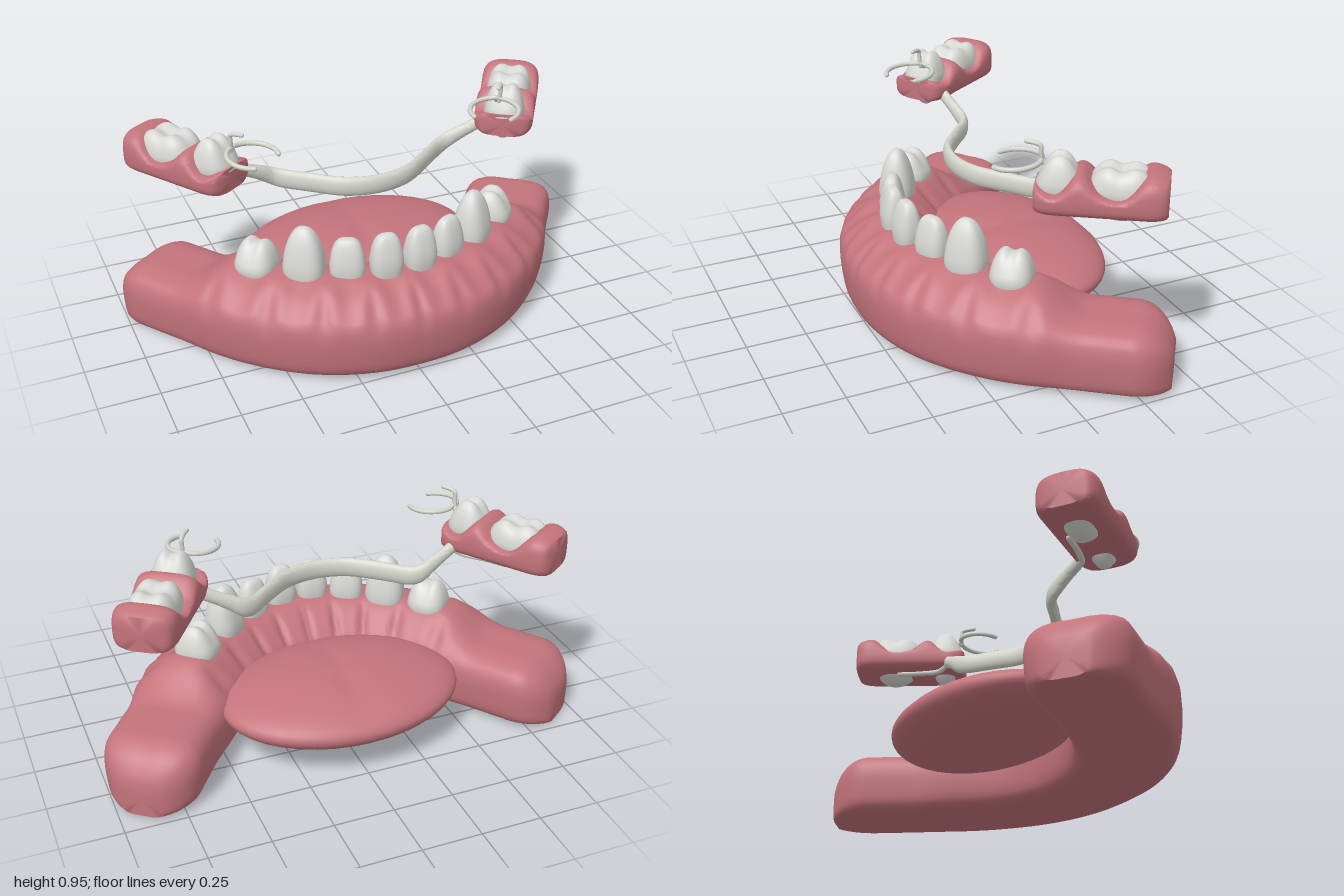
import * as THREE from 'three';
import { mergeVertices, toCreasedNormals } from 'three/addons/utils/BufferGeometryUtils.js';

const gumMat = new THREE.MeshStandardMaterial({ color: 0xc4747c });
gumMat.name = 'gum pink';
const toothMat = new THREE.MeshStandardMaterial({ color: 0xd8d8d4 });
toothMat.name = 'tooth ivory';
const metalMat = new THREE.MeshStandardMaterial({ color: 0xd3d5cb });
metalMat.name = 'clasp metal';

const { lerp, smoothstep, clamp } = THREE.MathUtils;
const V = (x, y, z) => new THREE.Vector3(x, y, z);
const spow = (v, e) => Math.sign(v) * Math.pow(Math.abs(v), e);
const gauss = (v, w) => Math.exp(-((v / w) ** 2));

function mesh(geometry, material, name) {
  const m = new THREE.Mesh(geometry, material);
  m.name = name;
  return m;
}

// Skin n + 1 closed rings of m points, f(i, j) -> [x, y, z], with both ends capped
function loft(n, m, f) {
  const pos = [], idx = [];
  for (let i = 0; i <= n; i++) for (let j = 0; j < m; j++) pos.push(...f(i, j));
  for (let i = 0; i < n; i++) for (let j = 0; j < m; j++) {
    const a = i * m + j, b = i * m + (j + 1) % m;
    idx.push(a, b, a + m, b, b + m, a + m);
  }
  for (const i of [0, n]) {
    const c = [0, 0, 0], k = pos.length / 3;
    for (let j = 0; j < m; j++) for (let q = 0; q < 3; q++) c[q] += pos[(i * m + j) * 3 + q] / m;
    pos.push(...c);
    for (let j = 0; j < m; j++) {
      const a = i * m + j, b = i * m + (j + 1) % m;
      idx.push(...(i ? [k, a, b] : [k, b, a]));
    }
  }
  // Turn the faces outward if the enclosed volume is negative
  const at = (i) => V(pos[i * 3], pos[i * 3 + 1], pos[i * 3 + 2]);
  let volume = 0;
  for (let t = 0; t < idx.length; t += 3) volume += at(idx[t]).dot(at(idx[t + 1]).cross(at(idx[t + 2])));
  if (volume < 0) idx.reverse();
  const g = new THREE.BufferGeometry();
  g.setAttribute('position', new THREE.Float32BufferAttribute(pos, 3));
  g.setIndex(idx);
  return toCreasedNormals(g, 1);
}

// Reshape a sphere by a rule on each vertex
function sculpt(rule) {
  let g = new THREE.SphereGeometry(1, 40, 28);
  g.deleteAttribute('uv');
  g.deleteAttribute('normal');
  g = mergeVertices(g, 1e-4);
  const p = g.attributes.position;
  for (let i = 0; i < p.count; i++) p.setXYZ(i, ...rule(p.getX(i), p.getY(i), p.getZ(i)));
  g.computeVertexNormals();
  return g;
}

// Tooth: rounded block with tapered ends and optional grooves that leave cusps
function tooth(name, { rx, ry, rz, e = 0.7, top = 1, bottom = 0.8, gx = 0, gz = 0 }, x, y, z, angle) {
  const g = sculpt((a, b, c) => {
    const r = Math.hypot(a, c) || 1e-6;
    const rad = Math.pow(r, e), h = spow(b, e);
    const u = spow(a / r, 0.75) * rad, v = spow(c / r, 0.75) * rad;
    const k = h > 0 ? lerp(1, top, h) : lerp(1, bottom, -h);
    const cut = h > 0 ? h * (gx * gauss(u, 0.35) + gz * gauss(v, 0.3)) : 0;
    return [u * rx * (h > 0 ? lerp(1, (1 + top) / 2, h) : k), h * ry - cut, v * rz * k];
  });
  const m = mesh(g, toothMat, name);
  m.position.set(x, y, z);
  m.rotation.y = angle;
  return m;
}

// Gum arch: swept section, ridged under the teeth and flat on the rear arms
function gumArch() {
  const half = [[0.16, 0.305], [0.33, 0.24], [0.51, 0.10], [0.68, -0.11], [0.84, -0.33], [0.912, -0.428]];
  const path = new THREE.CatmullRomCurve3([
    ...half.map(([x, z]) => V(-x, 0, z)).reverse(), V(0, 0, 0.32), ...half.map(([x, z]) => V(x, 0, z))]);
  const section = (pts) => new THREE.CatmullRomCurve3(pts.map(([n, y]) => V(n, y, 0)), true).getPoints(44);
  const ridge = section([[-0.14, 0.005], [0, 0], [0.13, 0.005], [0.19, 0.03], [0.212, 0.1], [0.212, 0.265],
    [0.17, 0.32], [0.1, 0.37], [0, 0.388], [-0.07, 0.38], [-0.145, 0.32], [-0.205, 0.24], [-0.212, 0.12], [-0.19, 0.03]]);
  const flat = section([[-0.14, 0.005], [0, 0], [0.13, 0.005], [0.18, 0.03], [0.195, 0.1], [0.195, 0.2],
    [0.172, 0.25], [0.1, 0.274], [0, 0.275], [-0.1, 0.274], [-0.165, 0.25], [-0.195, 0.2], [-0.195, 0.1], [-0.18, 0.03]]);
  const N = 260;
  return loft(N, 44, (i, j) => {
    const c = path.getPointAt(i / N), t = path.getTangentAt(i / N), ax = Math.abs(c.x);
    const k = smoothstep(c.z, -0.16, 0.02);
    const e = clamp((ax - 0.82) / 0.092, 0, 1), q = Math.sqrt(1 - 0.82 * e * e);
    let n = lerp(flat[j].x, ridge[j].x, k), y = lerp(flat[j].y, ridge[j].y, k);
    // Grooves between neighbouring teeth, and a lower gum line at each tooth
    const wave = ax < 0.68 ? 0.5 + 0.5 * Math.cos(2 * Math.PI * c.x / 0.15) : 0;
    const upper = k * smoothstep(y, 0.22, 0.31);
    n *= 1 - 0.14 * wave ** 4 * upper * (1 - smoothstep(y, 0.355, 0.39));
    y -= 0.02 * (1 - wave) * upper * smoothstep(n, 0.03, 0.09);
    return [c.x - t.z * n * q, y * (1 - 0.75 * (1 - q)), c.z + t.x * n * q];
  });
}

// Denture saddle: pink block with a scalloped top edge
const saddleAt = (t) => [0.588 + 0.268 * t, 0.016 - 0.408 * t];
function saddle(s) {
  const top = new THREE.SplineCurve([[0, 0.81], [0.16, 0.785], [0.39, 0.858], [0.52, 0.797], [0.68, 0.785], [0.9, 0.862], [1, 0.86]]
    .map(([a, b]) => new THREE.Vector2(a, b)));
  const N = 48;
  return loft(N, 36, (i, j) => {
    const t = i / N, a = j / 36 * Math.PI * 2, [x, z] = saddleAt(t);
    const edge = Math.min(t, 1 - t) / 0.16;
    const q = edge < 1 ? 0.7 + 0.3 * Math.sqrt(1 - (1 - edge) ** 2) : 1;
    const n = 0.125 * q * spow(Math.cos(a), 0.55), sn = spow(Math.sin(a), 0.55);
    const y = 0.765 + sn * (sn > 0 ? top.getPoint(t).y - 0.765 : 0.068) * (0.6 + q * 0.4);
    return [s * (x + 0.827 * n), y, z + 0.562 * n];
  });
}

// Connecting bar: tall oval section following the inside of the arch
function bar() {
  const half = [[0.13, 0.638, 0.055], [0.26, 0.638, -0.04], [0.345, 0.638, -0.11], [0.385, 0.65, -0.126],
    [0.43, 0.675, -0.12], [0.55, 0.737, -0.095]];
  const path = new THREE.CatmullRomCurve3([
    ...half.map(([x, y, z]) => V(-x, y, z)).reverse(), V(0, 0.638, 0.083), ...half.map((p) => V(...p))]);
  const N = 90;
  return loft(N, 20, (i, j) => {
    const c = path.getPointAt(i / N), t = path.getTangentAt(i / N), a = j / 20 * Math.PI * 2;
    const l = Math.hypot(t.x, t.z), n = 0.021 * Math.cos(a);
    const h = lerp(0.042, 0.03, smoothstep(Math.abs(c.x), 0.36, 0.5)) * Math.sin(a);
    return [c.x - t.z / l * n, c.y + h, c.z + t.x / l * n];
  });
}

function wire(name, points, r) {
  const group = new THREE.Group();
  group.name = name;
  group.add(mesh(new THREE.TubeGeometry(new THREE.CatmullRomCurve3(points), 32, r, 10), metalMat, name + 'Wire'));
  for (const p of [points[0], points[points.length - 1]]) {
    const tip = mesh(new THREE.SphereGeometry(r, 10, 8), metalMat, name + 'Tip');
    tip.position.copy(p);
    group.add(tip);
  }
  return group;
}

export function createModel() {
  const model = new THREE.Group();
  model.name = 'dentalModel';
  const jaw = new THREE.Group();
  jaw.name = 'lowerJaw';
  const denture = new THREE.Group();
  denture.name = 'partialDenture';
  model.add(jaw, denture);

  jaw.add(mesh(gumArch(), gumMat, 'gumArch'));
  // Tongue: flattened, slightly tilted, fuller below, with a shallow middle groove
  jaw.add(mesh(sculpt((x, y, z) => [
    x * 0.51,
    0.215 + y * (y > 0 ? 0.108 : 0.125) + z * 0.012 - (y > 0 ? 0.01 * y * gauss(x, 0.1) : 0),
    -0.19 + z * 0.35,
  ]), gumMat, 'tongue'));
  denture.add(mesh(bar(), metalMat, 'connectingBar'));

  const incisor = { rx: 0.068, rz: 0.055, ry: 0.12, e: 0.6, top: 0.6, bottom: 0.85 };
  const premolar = { rx: 0.086, rz: 0.09, ry: 0.115, e: 0.72, top: 0.55, bottom: 0.8, gx: 0.022 };
  const molar = { rx: 0.096, rz: 0.132, ry: 0.115, e: 0.66, top: 0.8, bottom: 0.5, gx: 0.02, gz: 0.022 };
  for (const s of [-1, 1]) {
    const side = s > 0 ? 'left' : 'right';
    // Natural teeth
    jaw.add(
      tooth(side + 'CentralIncisor', incisor, s * 0.073, 0.433, 0.325, s * 0.1),
      tooth(side + 'LateralIncisor', { ...incisor, rx: 0.073 }, s * 0.218, 0.418, 0.275, s * 0.42),
      tooth(side + 'Canine', { rx: 0.085, rz: 0.075, ry: 0.18, e: 0.9, top: 0.75, bottom: 0.85 }, s * 0.37, 0.402, 0.195, s * 0.65),
      tooth(side + 'Premolar', premolar, s * 0.524, 0.39, 0.072, s * 0.85));

    // Saddle with its artificial teeth
    denture.add(mesh(saddle(s), gumMat, side + 'Saddle'));
    const angle = Math.atan2(s * 0.56, -0.83);
    const [px, pz] = saddleAt(0.18), [mx, mz] = saddleAt(0.645);
    denture.add(
      tooth(side + 'DenturePremolar', { ...premolar, ry: 0.13, bottom: 0.45 }, s * px, 0.79, pz, angle),
      tooth(side + 'DentureMolar', molar, s * mx, 0.777, mz, angle));

    // Clasp: two curved arms opening forward, with a small rest above
    const back = Math.atan2(-0.83, 0.56);
    for (const d of [-1, 1]) {
      const arm = [V(s * 0.6, 0.81, -0.05)];
      for (let i = 0; i <= 8; i++) {
        const a = back + d * i / 8 * 2.3;
        arm.push(V(s * (0.52 + 0.1 * Math.cos(a)), 0.872 - 0.002 * i, 0.067 + 0.1 * Math.sin(a)));
      }
      denture.add(wire(side + (d * s > 0 ? 'OuterArm' : 'InnerArm'), arm, 0.01));
    }
    denture.add(wire(side + 'Rest', [V(s * 0.582, 0.86, -0.01), V(s * 0.584, 0.9, -0.006),
      V(s * 0.584, 0.928, -0.004), V(s * 0.575, 0.936, 0.008), V(s * 0.55, 0.941, 0.038)], 0.009));
    // Retaining strut under the saddle
    denture.add(wire(side + 'Strut', [V(s * 0.53, 0.725, -0.1), V(s * 0.58, 0.697, -0.12),
      V(s * 0.64, 0.695, -0.18), V(s * 0.7, 0.695, -0.26)], 0.012));
  }
  return model;
}
